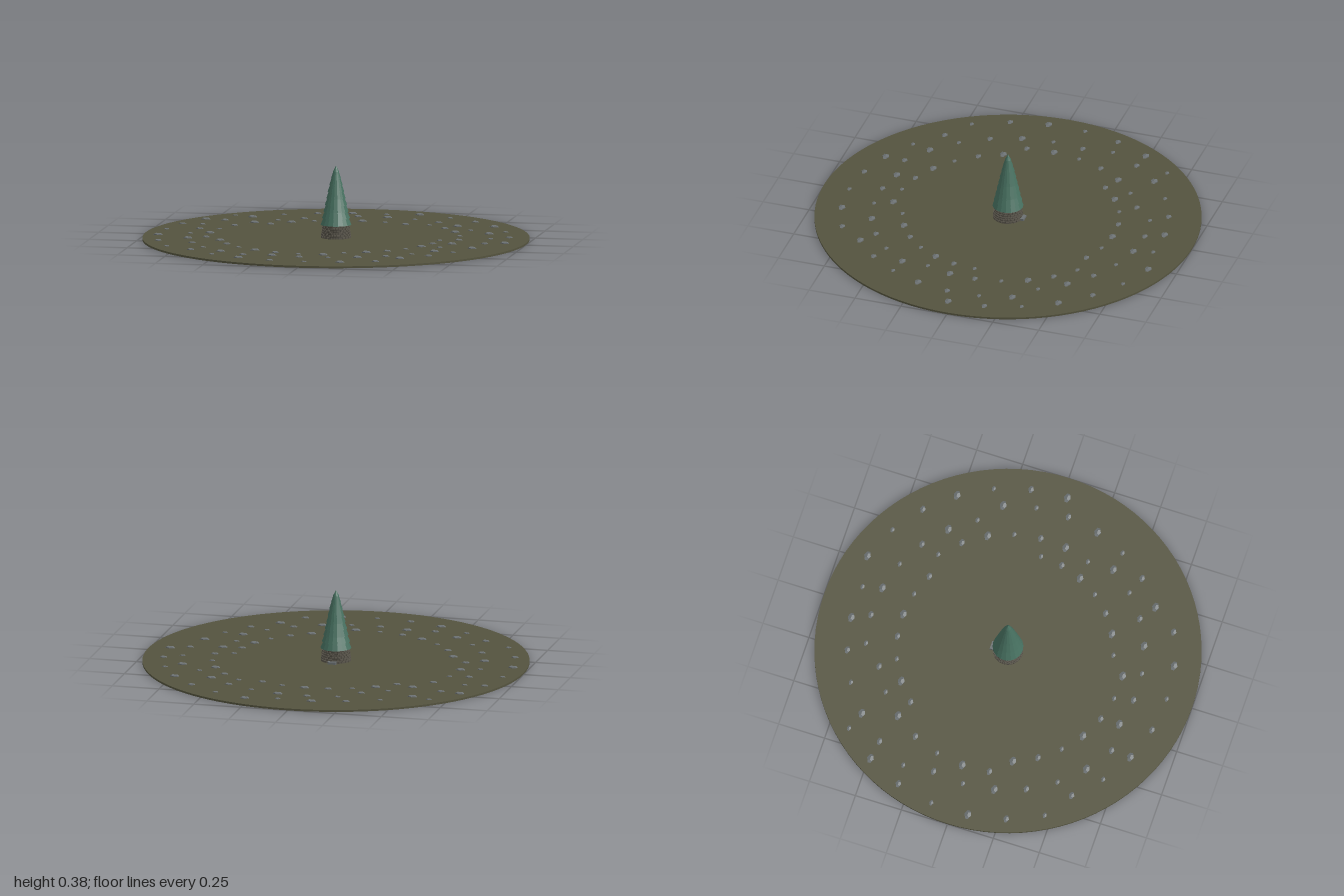
import * as THREE from 'three';
import { mergeGeometries } from 'three/addons/utils/BufferGeometryUtils.js';

const mat = (name, color, flat = true) => {
  const m = new THREE.MeshStandardMaterial({ color, flatShading: flat });
  m.name = name;
  return m;
};

export function createModel() {
  const earth = mat('earth', 0x54533e, false);
  const rock = mat('rock', 0x6b7072);
  const block = mat('wall block', 0x59554b);
  const mortar = mat('mortar', 0x3a372f);
  const tile = mat('roof green', 0x466f5f);

  const group = new THREE.Group();
  const add = (name, geometry, material, parent = group) => {
    const mesh = new THREE.Mesh(geometry, material);
    mesh.name = name;
    parent.add(mesh);
    return mesh;
  };

  // Ground disc
  const groundTop = 0.01;
  add('ground', new THREE.CylinderGeometry(1, 1, groundTop, 96), earth).position.y = groundTop / 2;

  // Scattered stones: golden-angle placement, thirteen radii, three sizes
  const golden = Math.PI * (3 - Math.sqrt(5));
  const sizes = [0.016, 0.026, 0.021];
  const stone = (x, z, s) =>
    new THREE.DodecahedronGeometry(s).scale(1, 0.4, 0.75).translate(x, groundTop, z);
  const stones = [];
  for (let i = 0; i < 91; i++) {
    const angle = 3.915 + i * golden;
    const radius = 0.925 - (i % 13) * 0.0317;
    stones.push(stone(Math.cos(angle) * radius, Math.sin(angle) * radius, sizes[i % 3]));
  }
  add('scatteredStones', mergeGeometries(stones), rock);

  // Round tower: mortar core with staggered block courses
  const tower = new THREE.Group();
  tower.name = 'tower';
  group.add(tower);
  const wallHeight = 0.072;
  add('wallCore', new THREE.CylinderGeometry(0.065, 0.073, wallHeight, 32), mortar, tower)
    .position.y = groundTop + wallHeight / 2;
  const blocks = [];
  const courses = 6, perCourse = 24, step = wallHeight / courses;
  for (let c = 0; c < courses; c++) {
    const r = 0.073 - 0.008 * (c / (courses - 1));
    for (let i = 0; i < perCourse; i++) {
      const a = ((i + (c % 2) / 2) / perCourse) * Math.PI * 2;
      blocks.push(new THREE.BoxGeometry(r * 0.235, step * 0.82, 0.01)
        .translate(0, groundTop + (c + 0.5) * step, r)
        .rotateY(a));
    }
  }
  add('wallBlocks', mergeGeometries(blocks), block, tower);

  // Step stone behind the tower
  add('backStep', new THREE.BoxGeometry(0.045, 0.012, 0.025), rock, tower)
    .position.set(0, groundTop + 0.006, -0.08);

  // Tiered roof: overlapping flared cones
  const eaves = [0.08, 0.073, 0.065, 0.058, 0.05, 0.043, 0.035, 0.026, 0.016];
  const tierStep = 0.0345, roofBase = 0.078;
  eaves.forEach((r, i) => {
    const last = i === eaves.length - 1;
    const top = last ? 0 : eaves[i + 1] * 0.88;
    const height = last ? 0.385 - roofBase - i * tierStep : tierStep + 0.002;
    add('roofTier' + (i + 1), new THREE.CylinderGeometry(top, r, height, 18), tile, tower)
      .position.y = roofBase + i * tierStep + height / 2;
  });

  return group;
}
